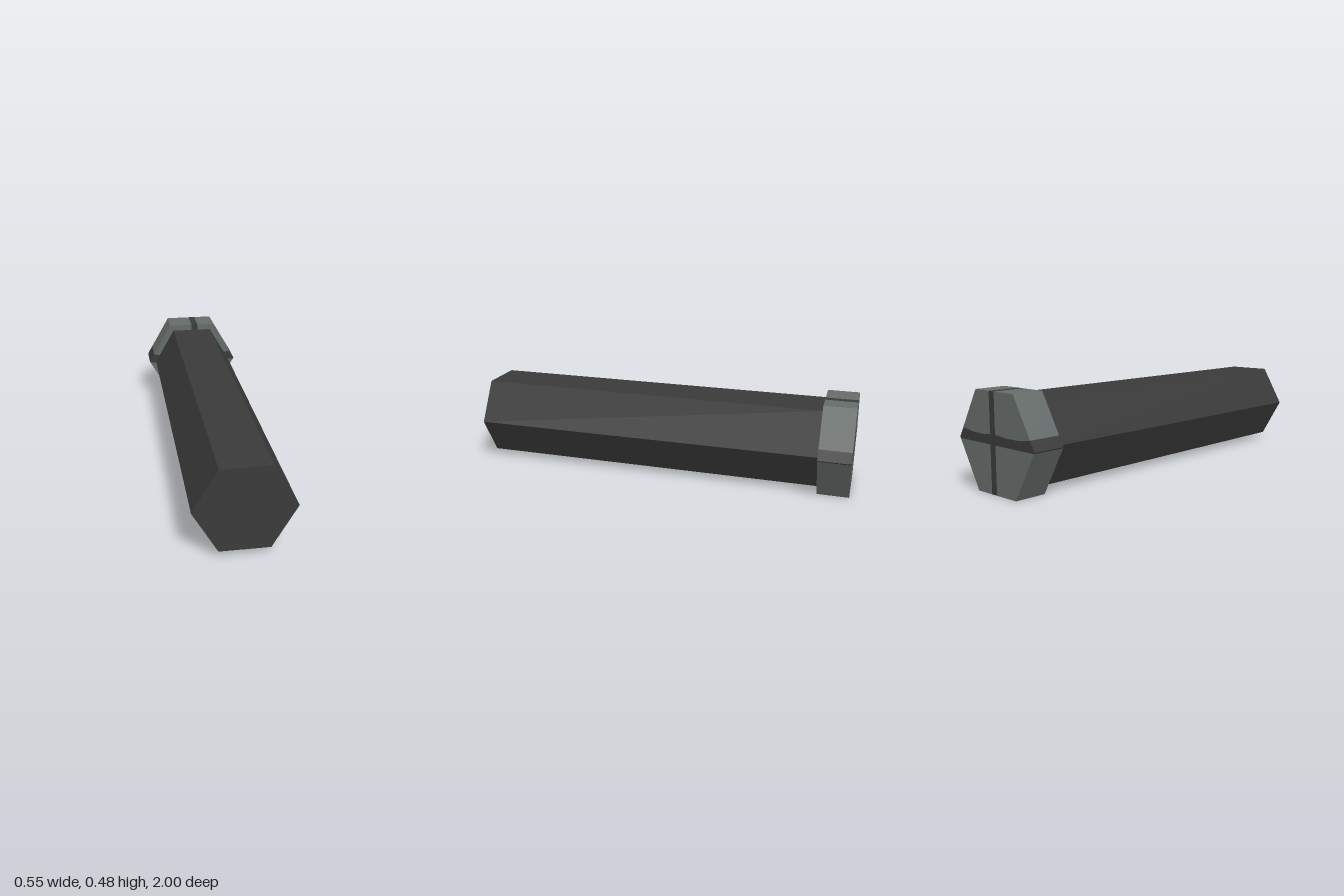
import * as THREE from 'three';

const HEAD_R = 0.275, SHAFT_R = 0.235;
const APOTHEM = HEAD_R * Math.sqrt(3) / 2;
const BACK = -1, SEAM = -0.837, FRONT = 1;

// x of the head's slanted right side at height y
const edge = (y) => HEAD_R - Math.abs(y) / Math.sqrt(3);

export function createModel() {
  const dark = new THREE.MeshStandardMaterial({ color: 0x3a3a3a, flatShading: true });
  dark.name = 'charcoal';
  const grey = new THREE.MeshStandardMaterial({ color: 0x656c6a, flatShading: true });
  grey.name = 'steel grey';

  const model = new THREE.Group();
  model.name = 'hexBolt';

  // Prism along z from a list of [x, y] corners
  const prism = (name, points, z0, z1, material, parent) => {
    const shape = new THREE.Shape(points.map(([x, y]) => new THREE.Vector2(x, y)));
    const geometry = new THREE.ExtrudeGeometry(shape, { depth: z1 - z0, bevelEnabled: false });
    geometry.translate(0, APOTHEM, z0);
    const mesh = new THREE.Mesh(geometry, material);
    mesh.name = name;
    parent.add(mesh);
  };

  // Long hexagonal shaft
  const hexagon = Array.from({ length: 6 }, (_, i) => {
    const a = i * Math.PI / 3;
    return [SHAFT_R * Math.cos(a), SHAFT_R * Math.sin(a)];
  });
  prism('shaft', hexagon, SEAM, FRONT, dark, model);

  // Head, divided by a vertical stripe and a gently curved cross band
  const head = new THREE.Group();
  head.name = 'head';
  model.add(head);
  const x0 = 0, x1 = 0.037, low = -0.006;
  prism('verticalStripe', [[x0, -APOTHEM], [x1, -APOTHEM], [x1, APOTHEM], [x0, APOTHEM]],
    BACK, SEAM, dark, head);

  for (const side of [1, -1]) {
    const label = side > 0 ? 'left' : 'right';
    const inner = side > 0 ? x1 : x0;
    const add = (name, pts, material) =>
      prism(label + name, pts.map(([x, y]) => [side * x, y]), BACK, SEAM, material, head);

    // Upper edge of the band, from the stripe out to the rim
    const bandTop = [[inner, 0.043], [0.09, 0.036], [0.17, 0.038], [edge(0.049), 0.049]];
    add('Band', [[inner, low], [edge(low), low], [HEAD_R, 0], ...[...bandTop].reverse()], dark);
    add('UpperPanel', [...bandTop, [HEAD_R / 2, APOTHEM], [inner, APOTHEM]], grey);
    add('LowerPanel', [[inner, -APOTHEM], [HEAD_R / 2, -APOTHEM], [edge(low), low], [inner, low]], grey);
  }
  return model;
}
